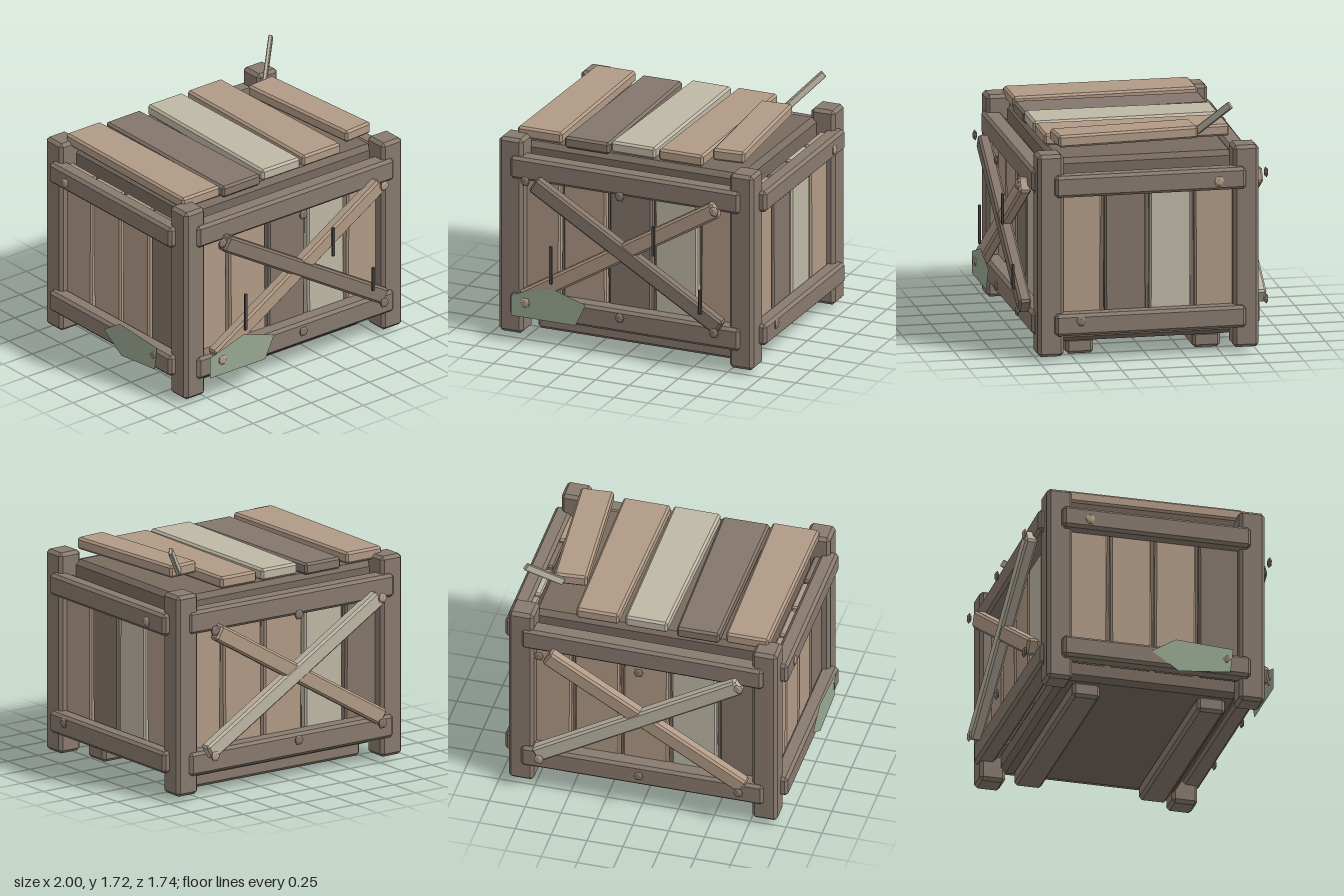
import * as THREE from 'three';
import { ConvexGeometry } from 'three/addons/geometries/ConvexGeometry.js';

const paint = (name, color) => {
  const m = new THREE.MeshStandardMaterial({ color, flatShading: true });
  m.name = name;
  return m;
};

export function createModel() {
  const frame = paint('frame wood', 0x887a6f);
  const dark = paint('dark wood', 0x84766b);
  const tan = paint('tan wood', 0xb19a86);
  const pale = paint('pale wood', 0xbfb8a6);
  const inner = paint('inner wood', 0x786b60);
  const iron = paint('dark splinter', 0x58504b);
  const moss = paint('moss', 0x98a892);
  moss.side = THREE.DoubleSide;

  const crate = new THREE.Group();
  crate.name = 'crate';

  // Box with every edge chamfered; taper widens its +z end
  function beam(parent, name, mat, pos, size, bevel = 0.015, rot = [0, 0, 0], taper = 0) {
    const pts = [];
    const h = size.map((s) => s / 2);
    for (const sx of [-1, 1]) for (const sy of [-1, 1]) for (const sz of [-1, 1]) {
      for (let full = 0; full < 3; full++) {
        const c = h.map((v, i) => (i === full ? v : v - bevel));
        pts.push(new THREE.Vector3((c[0] + (taper * sz * c[2]) / h[2]) * sx, c[1] * sy, c[2] * sz));
      }
    }
    const mesh = new THREE.Mesh(new ConvexGeometry(pts), mat);
    mesh.name = name;
    mesh.position.set(...pos);
    mesh.rotation.set(...rot);
    parent.add(mesh);
    return mesh;
  }

  // Flattened faceted bolt head facing +z of its parent
  const boltShape = new THREE.IcosahedronGeometry(0.038, 0).scale(1, 1, 0.42);
  function bolt(parent, mat, x, y, z) {
    const mesh = new THREE.Mesh(boltShape, mat);
    mesh.name = 'bolt';
    mesh.position.set(x, y, z);
    parent.add(mesh);
  }

  // Flat patch of moss in the parent's xy plane
  function patch(parent, points, z) {
    const shape = new THREE.Shape(points.map((p) => new THREE.Vector2(...p)));
    const mesh = new THREE.Mesh(new THREE.ShapeGeometry(shape), moss);
    mesh.name = 'mossPatch';
    mesh.position.z = z;
    parent.add(mesh);
  }

  // Diagonal brace between two points
  function brace(parent, mat, a, b, z) {
    const dx = b[0] - a[0], dy = b[1] - a[1];
    beam(parent, 'brace', mat, [(a[0] + b[0]) / 2, (a[1] + b[1]) / 2, z],
      [Math.hypot(dx, dy), 0.115, 0.085], 0.015, [0, 0, Math.atan2(dy, dx)]);
  }

  // Inner box, corner posts and skids
  beam(crate, 'innerBox', inner, [0, 0.735, 0], [1.61, 1.27, 1.23], 0.034);
  for (const sx of [-1, 1]) for (const sz of [-1, 1]) {
    beam(crate, 'cornerPost', frame, [0.848 * sx, 0.732, 0.67 * sz], [0.175, 1.398, 0.177], 0.022);
  }
  for (const sz of [-1, 1]) {
    beam(crate, 'skid', frame, [0, 0.055, 0.435 * sz], [1.5, 0.11, 0.19], 0.02);
  }

  // Front and back walls
  const walls = [
    { name: 'frontWall', turn: 0, planks: [tan, tan, dark, pale, tan], falling: dark, rising: tan, zFall: 0.806, zRise: 0.8 },
    { name: 'backWall', turn: Math.PI, planks: [tan, tan, tan, pale, dark], falling: tan, rising: pale, zFall: 0.8, zRise: 0.806 },
  ];
  for (const w of walls) {
    const wall = new THREE.Group();
    wall.name = w.name;
    wall.rotation.y = w.turn;
    crate.add(wall);
    w.planks.forEach((mat, i) => {
      const tilt = (i % 2 ? 1 : -1) * 0.005;
      beam(wall, 'wallPlank', mat, [(i - 2) * 0.337, 0.735, 0.649], [0.312, 1.07, 0.06], 0.012, [0, 0, tilt]);
    });
    beam(wall, 'topRail', frame, [0, 1.232, 0.717], [1.69, 0.16, 0.13], 0.02, [0, w.turn ? -0.014 : 0, 0]);
    beam(wall, 'bottomRail', frame, [0, 0.248, 0.717], [1.69, 0.16, 0.13], 0.02);
    brace(wall, w.rising, [-0.725, 0.322], [0.69, 1.18], w.zRise);
    brace(wall, w.falling, [-0.65, 1.157], [0.722, 0.335], w.zFall);
    for (const x of [-0.695, 0, 0.695]) {
      bolt(wall, x > 0 ? tan : dark, x, 1.18, 0.854);
      bolt(wall, x < 0 ? tan : dark, x, 0.305, 0.854);
    }
  }
  const front = crate.getObjectByName('frontWall');
  patch(front, [[-0.8, 0.35], [-0.513, 0.44], [-0.25, 0.358], [-0.326, 0.198], [-0.8, 0.198]], 0.852);

  // Thin dark splinters in front of the planks
  for (const [x, y, h] of [[-0.503, 0.609, 0.27], [0.25, 0.902, 0.215], [0.595, 0.517, 0.175]]) {
    beam(front, 'splinter', iron, [x, y, 0.861], [0.022, h, 0.017], 0.003);
  }

  // Side walls, listed from their own left to right
  const sides = [
    { name: 'leftWall', turn: Math.PI / 2, planks: [tan, dark, pale, tan], s: 1 },
    { name: 'rightWall', turn: -Math.PI / 2, planks: [tan, tan, tan, dark], s: -1 },
  ];
  for (const w of sides) {
    const wall = new THREE.Group();
    wall.name = w.name;
    wall.rotation.y = w.turn;
    crate.add(wall);
    w.planks.forEach((mat, i) => {
      const tilt = (i % 2 ? 1 : -1) * 0.004;
      beam(wall, 'wallPlank', mat, [(i - 1.5) * 0.308 + 0.006 * w.s, 0.735, 0.853], [0.285, 1.07, 0.055], 0.012, [0, 0, tilt]);
    });
    beam(wall, 'topRail', frame, [0.006 * w.s, 1.217, 0.927], [1.31, 0.15, 0.115], 0.02);
    beam(wall, 'bottomRail', frame, [0.006 * w.s, 0.258, 0.927], [1.31, 0.15, 0.115], 0.02);
    bolt(wall, tan, 0.473 * w.s, 1.205, 0.986);
    bolt(wall, dark, -0.475 * w.s, 0.285, 0.986);
  }
  patch(crate.getObjectByName('rightWall'),
    [[-0.05, 0.28], [0.12, 0.385], [0.52, 0.36], [0.5, 0.19], [0.14, 0.155]], 0.994);

  // Lid boards, the last one knocked loose and propped up
  const lid = new THREE.Group();
  lid.name = 'lid';
  crate.add(lid);
  const boards = [[tan, -0.695, 1.431, 0.004], [dark, -0.35, 1.411, 0.008], [pale, 0, 1.431, -0.008], [tan, 0.345, 1.431, 0]];
  for (const [mat, x, y, turn] of boards) {
    beam(lid, 'lidBoard', mat, [x, y, -0.01], [0.312, 0.082, 1.275], 0.015, [0, turn, 0], 0.008);
  }
  beam(lid, 'looseBoard', tan, [0.645, 1.485, 0.11], [0.228, 0.084, 0.975], 0.015, [0, 0.078, 0]);

  // Broken stick poking out beside the loose board
  const from = new THREE.Vector3(0.655, 1.475, -0.385);
  const to = new THREE.Vector3(0.863, 1.7, -0.575);
  const mid = from.clone().add(to).multiplyScalar(0.5);
  const stick = beam(lid, 'brokenStick', pale, mid.toArray(), [0.028, 0.05, from.distanceTo(to)], 0.005);
  stick.lookAt(to);

  return crate;
}
